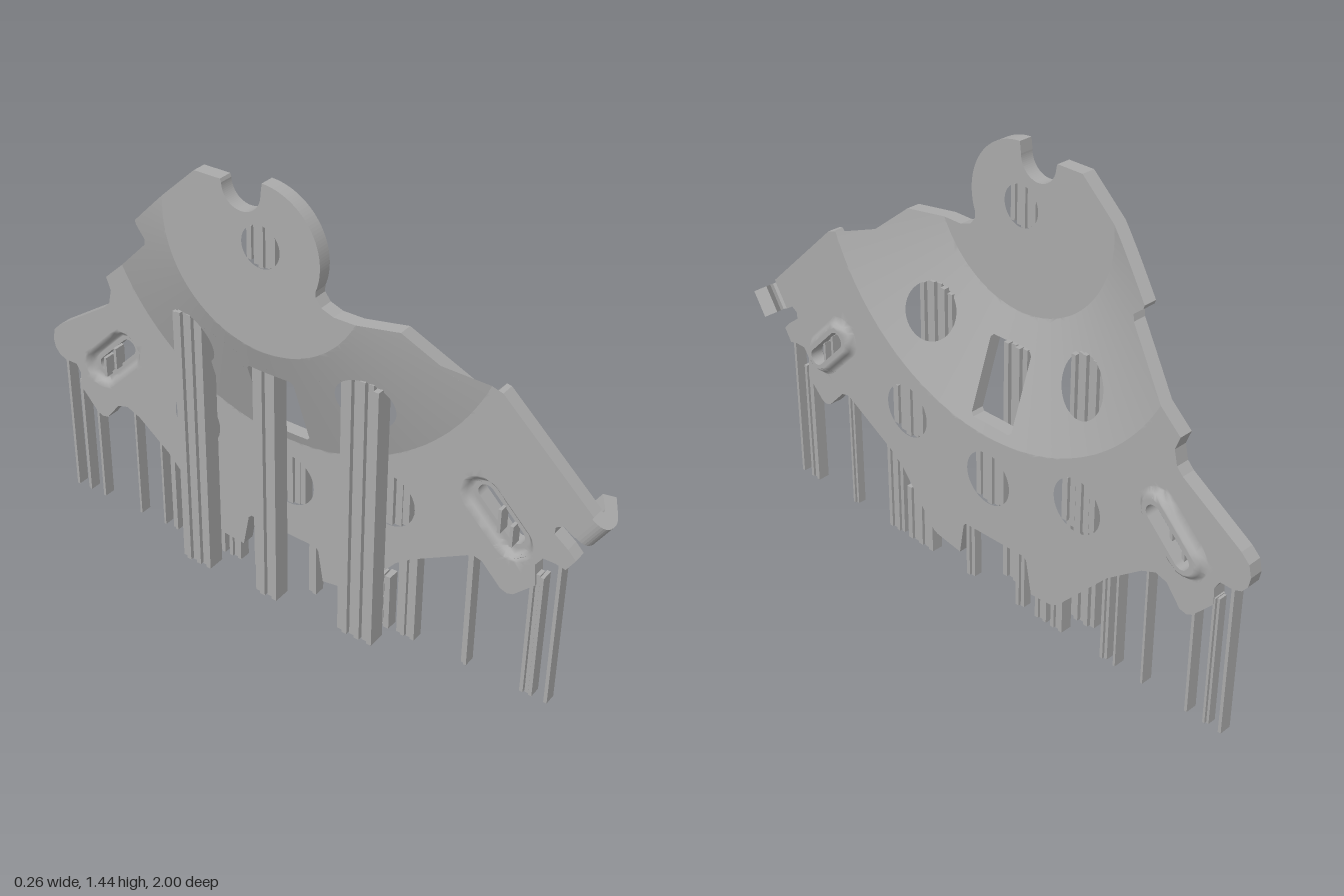
import * as THREE from 'three';

const THICK = 0.045;
const DISH = { x: 0.035, y: 1.27, inner: 0.345, outer: 0.715, depth: 0.13 };
// End points of the two slotted holes
const SLOTS = [[-0.722, 0.525, -0.62, 0.627], [0.692, 0.627, 0.794, 0.525]];

const dishRadius = (x, y) => Math.hypot(x - DISH.x, y - DISH.y);

function slotDistance(x, y) {
  return Math.min(...SLOTS.map(([ax, ay, bx, by]) => {
    const dx = bx - ax, dy = by - ay;
    const t = THREE.MathUtils.clamp(((x - ax) * dx + (y - ay) * dy) / (dx * dx + dy * dy), 0, 1);
    return Math.hypot(x - ax - t * dx, y - ay - t * dy);
  }));
}

// Sideways offset of the sheet: a shallow cone plus raised slot rims
function offset(x, y) {
  const cone = THREE.MathUtils.clamp((DISH.outer - dishRadius(x, y)) / (DISH.outer - DISH.inner), 0, 1);
  return 0.028 * (1 - THREE.MathUtils.smoothstep(slotDistance(x, y), 0.042, 0.07)) - DISH.depth * cone;
}

function plateShape() {
  const s = new THREE.Shape();
  const lines = pts => pts.forEach(p => s.lineTo(...p));
  // upper left edge and round top lobe with its notch
  s.moveTo(-0.955, 0.71);
  lines([[-0.66, 0.985], [-0.645, 0.988], [-0.61, 0.945], [-0.595, 0.945], [-0.394, 1.12], [-0.206, 1.12],
    [-0.165, 1.135], [-0.146, 1.16]]);
  s.absarc(0.035, 1.25, 0.195, 3.52, 1.6, true);
  s.lineTo(0.034, 1.41);
  s.absarc(0.1, 1.41, 0.066, Math.PI, Math.PI * 2, false);
  // right edge
  lines([[0.17, 1.42], [0.26, 1.42], [0.544, 1.16], [0.54, 1.148], [0.5, 1.115], [0.505, 1.095], [0.742, 0.878],
    [0.726, 0.835], [0.737, 0.787], [0.758, 0.765], [0.962, 0.632], [0.99, 0.605], [0.999, 0.567], [0.993, 0.535],
    [0.975, 0.512], [0.95, 0.502], [0.905, 0.502], [0.888, 0.475], [0.89, 0.42], [0.825, 0.347], [0.805, 0.337],
    [0.78, 0.342], [0.73, 0.405], [0.69, 0.416], [0.64, 0.395]]);
  // lower edge with its two feet
  lines([[0.517, 0.3], [0.33, 0.096], [0.3, 0.082], [0.222, 0.075], [0.2, 0.19], [0.19, 0.2], [-0.06, 0.192],
    [-0.07, 0.18], [-0.088, 0.07], [-0.19, 0.085], [-0.206, 0.092], [-0.351, 0.268], [-0.4, 0.305], [-0.587, 0.41],
    [-0.61, 0.418], [-0.635, 0.412], [-0.7, 0.345], [-0.722, 0.337], [-0.742, 0.343], [-0.807, 0.407],
    [-0.8, 0.477], [-0.822, 0.51], [-0.86, 0.51], [-0.892, 0.503]]);
  // left end notch
  lines([[-0.919, 0.546], [-0.893, 0.573], [-0.848, 0.607], [-0.85, 0.63], [-0.872, 0.643], [-0.908, 0.62]]);

  for (const [x, y, r] of [[-0.27, 0.833, 0.09], [0.346, 0.833, 0.09], [-0.319, 0.487, 0.089],
    [0.037, 0.407, 0.089], [0.394, 0.487, 0.089], [0.037, 1.255, 0.065]])
    s.holes.push(new THREE.Path().absarc(x, y, r, 0, Math.PI * 2, true));
  s.holes.push(new THREE.Path([[-0.045, 0.6], [-0.035, 0.59], [0.11, 0.59], [0.12, 0.6], [0.12, 0.825],
    [0.11, 0.835], [-0.035, 0.835], [-0.045, 0.825]].map(p => new THREE.Vector2(...p))));
  for (const [ax, ay, bx, by] of SLOTS) {
    const a = Math.atan2(by - ay, bx - ax), h = Math.PI / 2;
    s.holes.push(new THREE.Path().absarc(bx, by, 0.027, a - h, a + h, false).absarc(ax, ay, 0.027, a + h, a + 3 * h, false));
  }
  return s;
}

// Halve the longest edge until all edges are short
function subdivide(tri, limit, out) {
  let best = 0, len = 0;
  for (let i = 0; i < 3; i++) {
    const d = tri[i].distanceTo(tri[(i + 1) % 3]);
    if (d > len) { len = d; best = i; }
  }
  if (len <= limit) { out.push(tri); return; }
  const a = tri[best], b = tri[(best + 1) % 3], c = tri[(best + 2) % 3];
  const m = a.clone().add(b).multiplyScalar(0.5);
  subdivide([a, m, c], limit, out);
  subdivide([m, b, c], limit, out);
}

// Cut triangles along the curve g = 0 so that folds stay clean
function slice(tris, g) {
  const out = [];
  for (const tri of tris) {
    const v = tri.map(p => { const k = g(p.x, p.y); return Math.abs(k) < 1e-5 ? 0 : k; });
    if (v.every(k => k >= 0) || v.every(k => k <= 0)) { out.push(tri); continue; }
    const sides = [[], []];
    for (let i = 0; i < 3; i++) {
      const j = (i + 1) % 3;
      if (v[i] >= 0) sides[0].push(tri[i]);
      if (v[i] <= 0) sides[1].push(tri[i]);
      if (v[i] * v[j] < 0) {
        const p = tri[i].clone().lerp(tri[j], v[i] / (v[i] - v[j]));
        sides.forEach(s => s.push(p));
      }
    }
    for (const s of sides) for (let i = 2; i < s.length; i++) out.push([s[0], s[i - 1], s[i]]);
  }
  return out;
}

function plateGeometry() {
  const flat = new THREE.ExtrudeGeometry(plateShape(), { depth: THICK, bevelEnabled: false, curveSegments: 20 });
  const src = flat.index ? flat.toNonIndexed() : flat;
  const P = src.attributes.position, N = src.attributes.normal, pos = [], nor = [];
  for (let i = 0; i < P.count; i += 3) {
    const face = new THREE.Vector3().fromBufferAttribute(N, i);
    const cap = Math.abs(face.z) > 0.9;
    let tris = [];
    subdivide([0, 1, 2].map(k => new THREE.Vector3().fromBufferAttribute(P, i + k)), 0.05, tris);
    for (const r of [DISH.inner, DISH.outer]) tris = slice(tris, (x, y) => dishRadius(x, y) - r);
    for (const r of [0.042, 0.056, 0.07]) tris = slice(tris, (x, y) => slotDistance(x, y) - r);
    for (const t of tris) {
      const c = t[0].clone().add(t[1]).add(t[2]).divideScalar(3);
      for (const p of t) {
        pos.push(p.x, p.y, p.z + offset(p.x, p.y));
        const n = face.clone();
        if (cap) {
          const q = p.clone().lerp(c, 0.05), e = 1e-4;
          n.set((offset(q.x - e, q.y) - offset(q.x + e, q.y)) / (2 * e),
            (offset(q.x, q.y - e) - offset(q.x, q.y + e)) / (2 * e), 1).normalize().multiplyScalar(Math.sign(face.z));
        }
        nor.push(n.x, n.y, n.z);
      }
    }
  }
  const g = new THREE.BufferGeometry();
  g.setAttribute('position', new THREE.Float32BufferAttribute(pos, 3));
  g.setAttribute('normal', new THREE.Float32BufferAttribute(nor, 3));
  return g;
}

export function createModel() {
  const model = new THREE.Group();
  model.name = 'bracketPlate';
  const body = new THREE.Group();   // drawn flat, then turned so the sheet faces sideways
  body.name = 'body';
  body.rotation.y = Math.PI / 2;
  model.add(body);
  const metal = new THREE.MeshStandardMaterial({ color: 0xaaaaaa });
  metal.name = 'grey';
  const add = (geometry, name) => {
    const m = new THREE.Mesh(geometry, metal);
    m.name = name;
    body.add(m);
    return m;
  };

  add(plateGeometry(), 'plate');

  // Bent hook on the left end
  const h = new THREE.Shape();
  h.moveTo(0.08, 0);
  h.lineTo(0.045, 0);
  h.quadraticCurveTo(0, 0, 0, 0.045);
  h.quadraticCurveTo(0, 0.065, 0.015, 0.085);
  [[0.05, 0.13], [0.082, 0.1], [0.05, 0.065], [0.047, 0.052], [0.055, 0.045], [0.08, 0.045]].forEach(p => h.lineTo(...p));
  const hook = new THREE.ExtrudeGeometry(h, { depth: 0.09, bevelEnabled: false, curveSegments: 8 });
  hook.applyMatrix4(new THREE.Matrix4().makeBasis(new THREE.Vector3(0.84, 0.54, 0),
    new THREE.Vector3(0, 0, 1), new THREE.Vector3(0.54, -0.84, 0)).setPosition(-0.998, 0.672, 0));
  add(hook, 'hook');

  // Rows of thin upright bars; top may be a number or a function of position
  const bars = (name, from, to, count, top, bottom = 0, depth = 0.04, centre = 0.0225) => {
    const step = (to - from) / count;
    for (let i = 0; i < count; i++) {
      const x = from + step * (i + 0.5);
      const y = typeof top === 'function' ? top(x) : top, b = typeof bottom === 'function' ? bottom(x) : bottom;
      const d = i % 2 ? depth * 0.7 : depth;
      add(new THREE.BoxGeometry(step * 0.8, y - b, d), name).position.set(x, (y + b) / 2, centre);
    }
  };
  const arc = (cx, cy, r, sign) => x => cy + sign * Math.sqrt(Math.max(0, r * r - (x - cx) ** 2));

  // Tall bundles behind the dish
  bars('tallSupport', -0.335, -0.2, 6, arc(-0.27, 0.833, 0.092, 1), 0, 0.06, -0.063);
  bars('tallSupport', 0.02, 0.11, 4, 0.84, 0, 0.06, -0.065);
  bars('tallSupport', 0.285, 0.405, 6, arc(0.346, 0.833, 0.092, 1), 0, 0.06, -0.063);

  // Short bars inside holes
  for (const [cx, cy, r, a, b, z] of [[0.037, 1.255, 0.067, -0.01, 0.09, -0.107], [0.037, 0.407, 0.09, -0.02, 0.1, 0.0225],
    [-0.319, 0.487, 0.09, -0.39, -0.25, 0.0225], [0.394, 0.487, 0.09, 0.33, 0.46, 0.0225]])
    bars('holeSupport', a, b, 5, arc(cx, cy, r, 1), arc(cx, cy, r, -1), 0.035, z);
  bars('slotSupport', -0.685, -0.672, 1, 0.61, 0.53);
  bars('slotSupport', -0.725, -0.712, 1, 0.57, 0.5);
  bars('slotSupport', 0.725, 0.738, 1, 0.62, 0.545);
  bars('slotSupport', 0.77, 0.783, 1, 0.57, 0.5);

  // Bars under the lower edge: from, to, count, top
  for (const [a, b, n, top] of [[-0.882, -0.868, 1, 0.52], [-0.832, -0.788, 3, 0.44], [-0.61, -0.587, 2, 0.42],
    [-0.426, -0.356, 4, 0.32], [-0.335, -0.215, 5, 0.2], [-0.062, -0.028, 2, 0.2], [0.153, 0.187, 2, 0.21],
    [0.235, 0.285, 3, 0.1], [0.3, 0.35, 3, 0.13], [0.5, 0.526, 2, 0.31], [0.552, 0.562, 1, 0.34], [0.657, 0.667, 1, 0.42],
    [0.82, 0.832, 1, 0.37], [0.885, 0.905, 2, 0.44], [0.94, 0.953, 1, 0.52]])
    bars('edgeSupport', a, b, n, top);

  return model;
}
